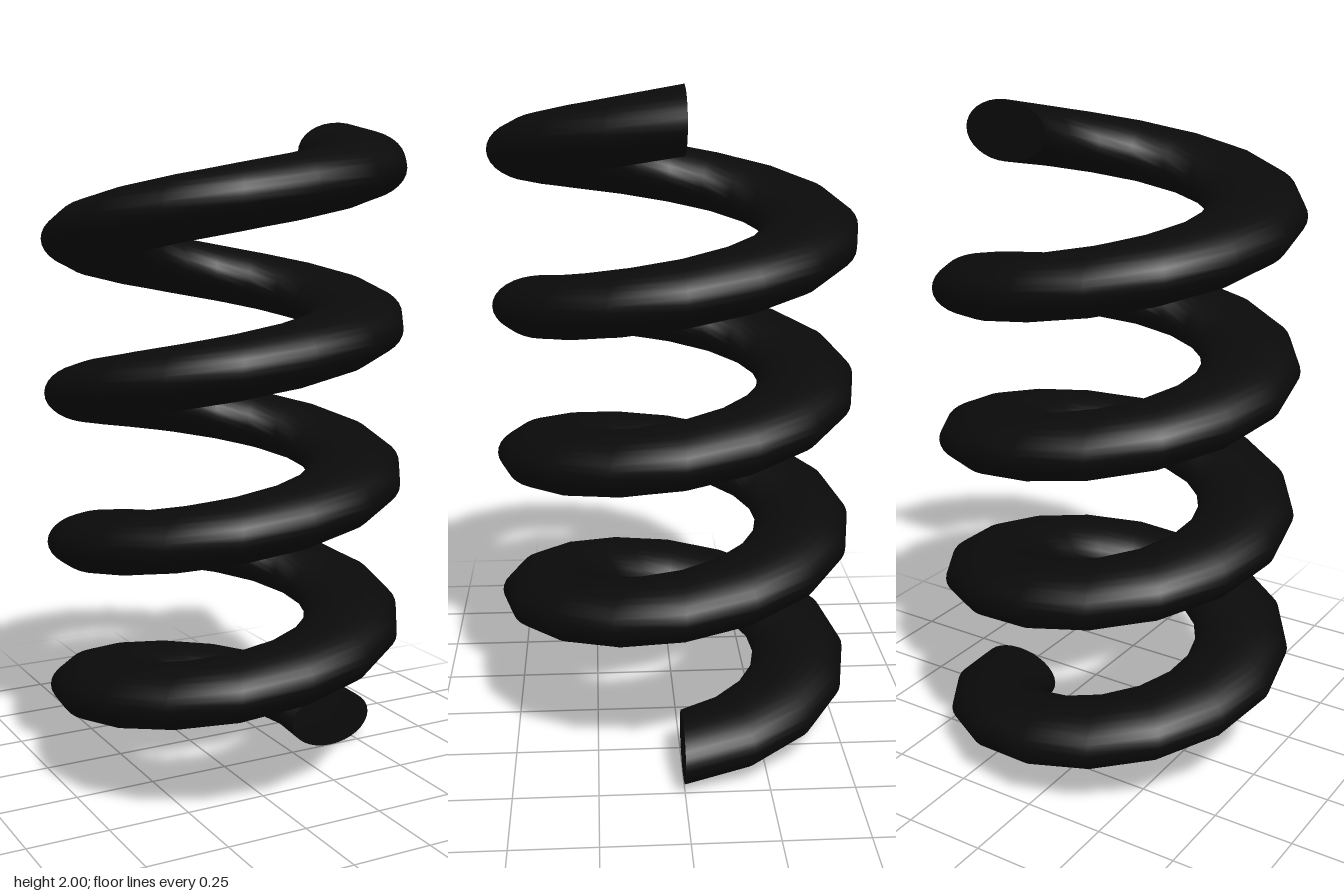
import * as THREE from 'three';

const TURNS = 4, STEPS = 16, SIDES = 32;
const COIL_RADIUS = 0.395;            // centre line of the wire
const WIRE_X = 0.145, WIRE_Y = 0.091; // half width and half height of the oval wire
const BOTTOM = WIRE_Y, TOP = 2 - WIRE_Y;

// Oval section swept up a helix, sixteen steps per turn
function coilGeometry() {
  const positions = [], indices = [];
  const count = TURNS * STEPS;
  for (let i = 0; i <= count; i++) {
    const a = (i / STEPS) * Math.PI * 2;
    const y = BOTTOM + (TOP - BOTTOM) * (i / count);
    for (let j = 0; j < SIDES; j++) {
      const b = (j / SIDES) * Math.PI * 2;
      const r = COIL_RADIUS + WIRE_X * Math.cos(b);
      positions.push(r * Math.cos(a), y + WIRE_Y * Math.sin(b), -r * Math.sin(a));
      if (i < count) {
        const k = (j + 1) % SIDES;
        const p = i * SIDES + j, q = i * SIDES + k;
        indices.push(p, p + SIDES, q, q, p + SIDES, q + SIDES);
      }
    }
  }
  const geometry = new THREE.BufferGeometry();
  geometry.setAttribute('position', new THREE.Float32BufferAttribute(positions, 3));
  geometry.setIndex(indices);
  geometry.computeVertexNormals();
  return geometry;
}

export function createModel() {
  const model = new THREE.Group();
  model.name = 'coilSpring';
  const material = new THREE.MeshStandardMaterial({ color: 0x0a0a0a });

  const coil = new THREE.Mesh(coilGeometry(), material);
  coil.name = 'coil';
  model.add(coil);

  // Flat oval faces closing both wire ends
  const addEnd = (name, y, turn) => {
    const geometry = new THREE.CircleGeometry(1, SIDES).scale(WIRE_X, WIRE_Y, 1).rotateY(turn);
    const end = new THREE.Mesh(geometry, material);
    end.name = name;
    end.position.set(COIL_RADIUS, y, 0);
    model.add(end);
  };
  addEnd('bottomEnd', BOTTOM, 0);
  addEnd('topEnd', TOP, Math.PI);

  return model;
}
